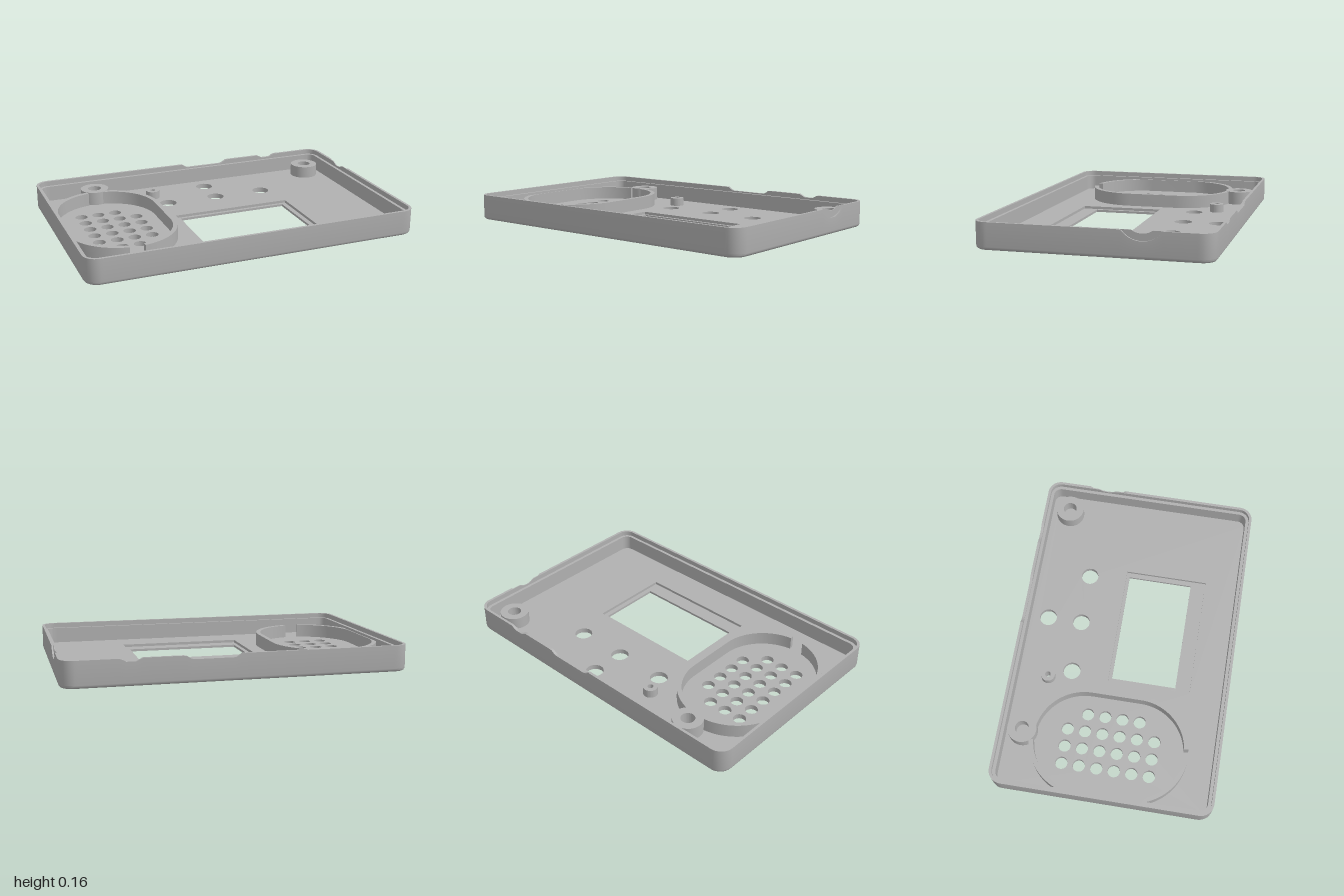
import * as THREE from 'three';
import { toCreasedNormals } from 'three/addons/utils/BufferGeometryUtils.js';

const HX = 1, HZ = 0.66, TOP = 0.155, FLOOR = 0.03, SKIN = 0.014, CORNER = 0.08;
const BUTTONS = [[0.105, -0.515], [-0.22, -0.305], [0.105, -0.305], [0.425, -0.305]];
const BOSSES = [[-0.643, -0.525], [0.844, -0.507]];
const POST = [-0.28, -0.44];
const RING = { x: -0.66, straight: 0.15, r: 0.325, t: 0.027 };

// Rounded rectangle loop at an inset, always with the same number of points
function outline(inset, sideSteps = 1) {
  const r = CORNER - inset, pts = [];
  const corners = [[1, 1], [-1, 1], [-1, -1], [1, -1]];
  corners.forEach(([sx, sz], c) => {
    for (let i = 0; i <= 8; i++) {
      const a = (c + i / 8) * Math.PI / 2;
      pts.push(new THREE.Vector2(sx * (HX - CORNER) + r * Math.cos(a), sz * (HZ - CORNER) + r * Math.sin(a)));
    }
    const [nx, nz] = corners[(c + 1) % 4], a = (c + 1) * Math.PI / 2;
    const next = new THREE.Vector2(nx * (HX - CORNER) + r * Math.cos(a), nz * (HZ - CORNER) + r * Math.sin(a));
    const last = pts[pts.length - 1].clone();
    for (let i = 1; i < sideSteps; i++) pts.push(last.clone().lerp(next, i / sideSteps));
  });
  return pts;
}

const circle = (x, z, r) => new THREE.Path().absarc(x, z, r, 0, Math.PI * 2, true);
const rect = (x0, z0, x1, z1) => new THREE.Path([[x0, z0], [x0, z1], [x1, z1], [x1, z0]].map(p => new THREE.Vector2(...p)));

// Extrude a plan shape (x, z) between two heights
function slab(shape, y0, y1, segments = 12) {
  const g = new THREE.ExtrudeGeometry(shape, { depth: y1 - y0, bevelEnabled: false, curveSegments: segments });
  g.rotateX(Math.PI / 2).translate(0, y1, 0);
  return toCreasedNormals(g, 0.7);
}

// Height of the rim, lowered at the cable cutouts
function rimHeight(x, z, radius) {
  let h = TOP;
  if (x > 0.9) {
    const d = z + 0.28;
    if (Math.abs(d) < radius) h = Math.min(h, 0.237 - Math.sqrt(radius * radius - d * d));
  }
  if (z < -0.6) {
    for (const [x0, x1, depth] of [[0, 0.315, 0.022], [0.555, 0.675, 0.018]]) {
      const edge = Math.min(x - x0, x1 - x);
      if (edge > 0) h = Math.min(h, TOP - depth * Math.min(1, edge / 0.03));
    }
  }
  return h;
}

// Wall lofted from inset, height and cutout radius at each profile point
function wallGeometry() {
  const profile = [
    [0.02, 0, 0.139], [0.0123, 0.0015, 0.139], [0.0059, 0.0059, 0.139], [0.0015, 0.0123, 0.139], [0, 0.02, 0.139],
    [0, TOP, 0.139], [0.01, TOP, 0.139], [0.01, TOP, 0.1], [0.016, TOP, 0.1],
    [0.016, 0.125, 0.1], [0.035, 0.125, 0.1], [0.035, FLOOR - 0.01, 0.1]
  ];
  const pos = [], index = [];
  let n = 0;
  for (const [inset, y, radius] of profile) {
    const loop = outline(inset, 100);
    n = loop.length;
    for (const p of loop) pos.push(p.x, Math.min(y, rimHeight(p.x, p.y, radius)), p.y);
  }
  for (let j = 0; j < profile.length - 1; j++) {
    for (let i = 0; i < n; i++) {
      const a = j * n + i, b = j * n + (i + 1) % n, c = a + n, d = b + n;
      index.push(a, c, b, b, c, d);
    }
  }
  const g = new THREE.BufferGeometry();
  g.setAttribute('position', new THREE.Float32BufferAttribute(pos, 3));
  g.setIndex(index);
  return toCreasedNormals(g, 0.6);
}

// Sort the hole grid into through speaker holes and blind dimples
function holeGrid() {
  const speaker = [], dimples = [];
  const near = (x, z, p, r) => Math.hypot(x - p[0], z - p[1]) < r;
  for (let k = 0; k < 18; k++) {
    for (let j = 0; j < 12; j++) {
      const x = (k - 8.5) * 0.1063, z = (j - 5.5) * 0.1055;
      if ((k >= 1 && k <= 3 && j >= 3 && j <= 8) || (k === 4 && j >= 4 && j <= 7)) {
        speaker.push([x, z]);
        continue;
      }
      const ringDistance = Math.hypot(x - RING.x, Math.max(0, Math.abs(z) - RING.straight));
      const blocked = ringDistance < 0.36 || near(x, z, BOSSES[0], 0.12) || near(x, z, POST, 0.08)
        || BUTTONS.some(b => near(x, z, b, 0.1))
        || (x > -0.3 && x < 0.54 && z > -0.12 && z < 0.5);
      if (!blocked) dimples.push([x, z]);
    }
  }
  return { speaker, dimples };
}

// One half of the speaker ring, mirrored by side
function ringHalf(side) {
  const pts = [], gap = 0.14, N = 20;
  const arc = (r, reverse) => {
    const list = [];
    for (const s of [1, -1]) {
      for (let i = 0; i <= N; i++) {
        const t = s > 0 ? 1 - i / N : i / N;
        const a = t * (Math.PI / 2 - gap);
        list.push(new THREE.Vector2(RING.x + side * r * Math.cos(a), s * (RING.straight + r * Math.sin(a))));
      }
    }
    return reverse ? list.reverse() : list;
  };
  pts.push(...arc(RING.r), ...arc(RING.r - RING.t, true));
  return new THREE.Shape(pts);
}

export function createModel() {
  const group = new THREE.Group();
  const grey = new THREE.MeshStandardMaterial({ color: 0xb0b0b0 });
  grey.name = 'plainGrey';
  const add = (name, geometry) => {
    const mesh = new THREE.Mesh(geometry, grey);
    mesh.name = name;
    group.add(mesh);
  };

  add('outerWall', wallGeometry());

  // Floor in two layers: dimpled outer skin, and inner layer with the screen recess
  const { speaker, dimples } = holeGrid();
  const through = () => [
    ...speaker.map(([x, z]) => circle(x, z, 0.037)),
    ...BUTTONS.map(([x, z]) => circle(x, z, 0.053)),
    circle(...POST, 0.017)
  ];
  const skin = new THREE.Shape(outline(0.02));
  skin.holes.push(...through(), ...dimples.map(([x, z]) => circle(x, z, 0.037)), rect(-0.225, -0.055, 0.465, 0.34));
  add('dimpledSkin', slab(skin, 0, SKIN));
  const floor = new THREE.Shape(outline(0.033));
  floor.holes.push(...through(), rect(-0.25, -0.075, 0.495, 0.43));
  add('innerFloor', slab(floor, SKIN, FLOOR));

  // Speaker ring with an open slot at the front
  add('speakerRingLeft', slab(ringHalf(1), FLOOR - 0.005, 0.11));
  add('speakerRingRight', slab(ringHalf(-1), FLOOR - 0.005, 0.11));

  // Hollow screw bosses and the small post
  const tube = (name, [x, z], r, hole, top) => {
    const s = new THREE.Shape().absarc(x, z, r, 0, Math.PI * 2, false);
    s.holes.push(circle(x, z, hole));
    add(name, slab(s, FLOOR - 0.005, top, 24));
  };
  tube('screwBossRight', BOSSES[0], 0.088, 0.041, 0.112);
  tube('screwBossLeft', BOSSES[1], 0.088, 0.041, 0.105);
  tube('smallPost', POST, 0.043, 0.017, 0.08);
  return group;
}
